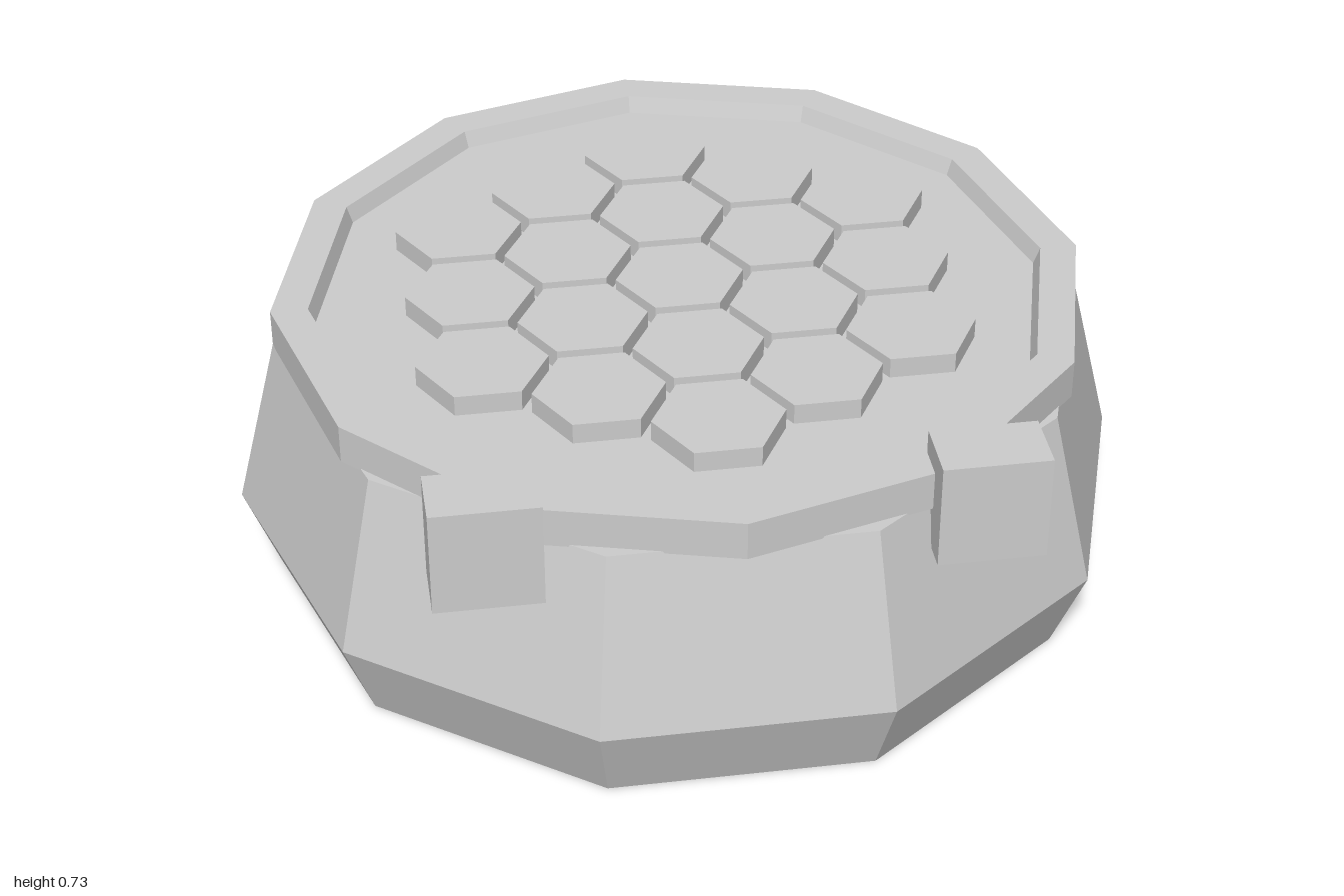
import * as THREE from 'three';

const grey = new THREE.MeshStandardMaterial({ color: 0xcccccc, flatShading: true });
grey.name = 'light grey';

// Faceted solid of revolution from [radius, y] pairs, first corner on +x
function faceted(name, profile, sides) {
  const points = profile.map(([r, y]) => new THREE.Vector2(r, y));
  const mesh = new THREE.Mesh(new THREE.LatheGeometry(points, sides, Math.PI / 2), grey);
  mesh.name = name;
  return mesh;
}

export function createModel() {
  const group = new THREE.Group();
  group.name = 'roundCase';

  // Ten-sided body, widest at y = 0.2
  group.add(faceted('body', [[0, 0], [0.925, 0], [1, 0.195], [0.9, 0.597], [0, 0.597]], 10));

  // Twelve-sided lid with a raised rim around a recessed floor
  group.add(faceted('lid', [
    [0, 0.592], [0.9, 0.592], [0.9, 0.68], [0.818, 0.68], [0.804, 0.642], [0, 0.642],
  ], 12));

  // Honeycomb of nineteen raised tiles
  const tiles = new THREE.Group();
  tiles.name = 'honeycombTiles';
  const tileShape = new THREE.CylinderGeometry(0.142, 0.142, 0.052, 6).rotateY(Math.PI / 2);
  const pitch = 0.27;
  for (let column = -2; column <= 2; column++) {
    const count = 5 - Math.abs(column);
    for (let i = 0; i < count; i++) {
      const tile = new THREE.Mesh(tileShape, grey);
      tile.name = 'hexTile';
      tile.position.set(column * 0.232, 0.663, (i - (count - 1) / 2) * pitch);
      tiles.add(tile);
    }
  }
  group.add(tiles);

  // Two clips at the front edge
  for (const side of [-1, 1]) {
    const clip = new THREE.Mesh(new THREE.BoxGeometry(0.228, 0.24, 0.138), grey);
    clip.name = side > 0 ? 'leftClip' : 'rightClip';
    clip.position.set(side * 0.515, 0.614, 0.787);
    group.add(clip);
  }
  return group;
}
